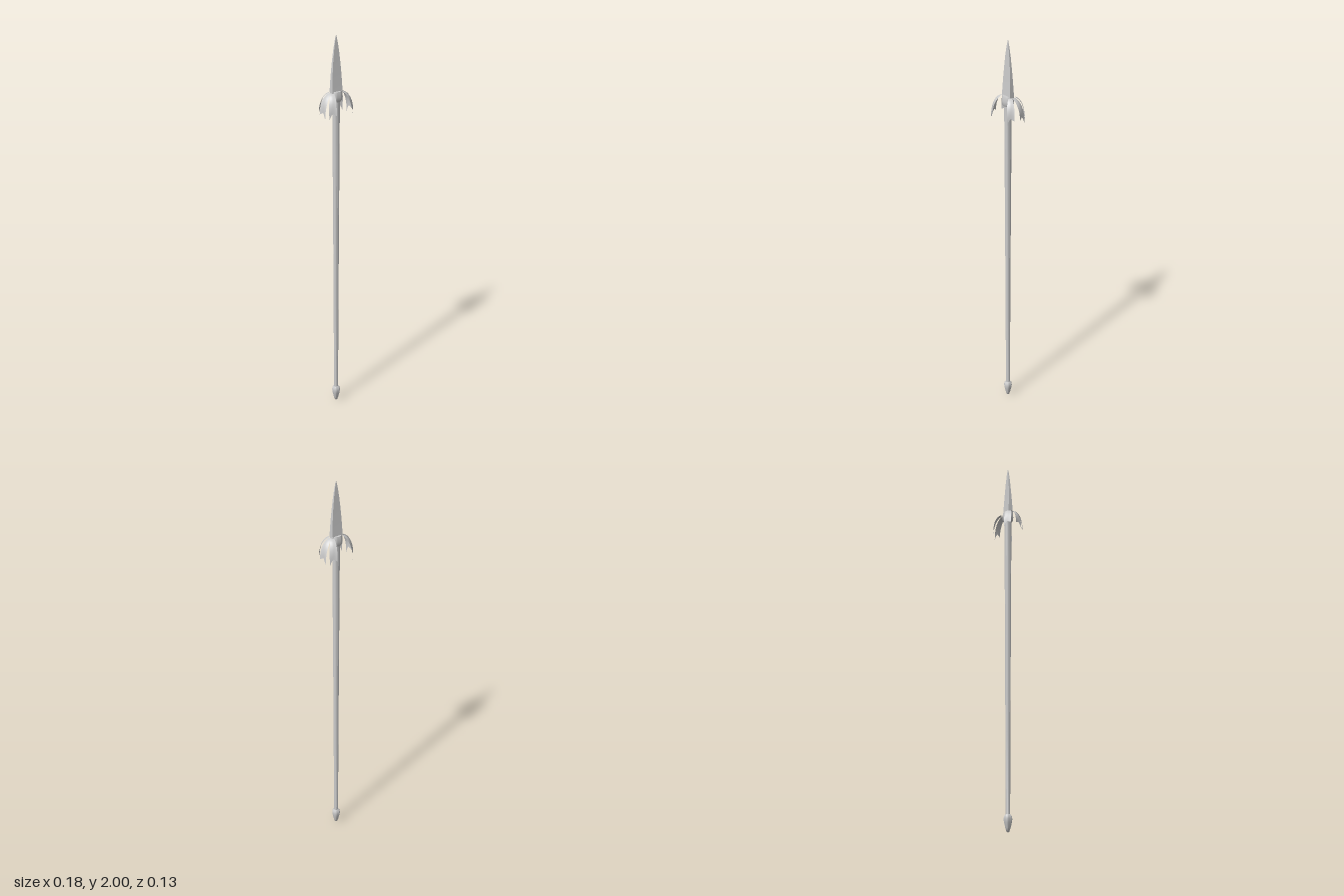
import * as THREE from 'three';
import { toCreasedNormals } from 'three/addons/utils/BufferGeometryUtils.js';

const material = new THREE.MeshStandardMaterial({ color: 0xcccccc });
const thinMaterial = new THREE.MeshStandardMaterial({ color: 0xcccccc, side: THREE.DoubleSide });

function lathe(name, points, sides) {
  const profile = points.map(([r, y]) => new THREE.Vector2(r, y));
  const mesh = new THREE.Mesh(toCreasedNormals(new THREE.LatheGeometry(profile, sides), 0.9), material);
  mesh.name = name;
  return mesh;
}

// Four-sided blade: rectangular sections [y, half width, half depth]
function bladeGeometry() {
  const sections = [
    [1.72, 0.0285, 0.0135], [1.76, 0.0275, 0.011], [1.81, 0.025, 0.0085],
    [1.87, 0.02, 0.006], [1.92, 0.0145, 0.0045], [1.97, 0.007, 0.0025], [2.0, 0.0005, 0.0005],
  ];
  const positions = [], index = [];
  for (const [y, w, d] of sections) positions.push(w, y, d, w, y, -d, -w, y, -d, -w, y, d);
  for (let i = 0; i < sections.length - 1; i++) {
    for (let k = 0; k < 4; k++) {
      const a = i * 4 + k, b = i * 4 + (k + 1) % 4;
      index.push(a, b, b + 4, a, b + 4, a + 4);
    }
  }
  const top = (sections.length - 1) * 4;
  index.push(0, 2, 1, 0, 3, 2, top, top + 1, top + 2, top, top + 2, top + 3);
  const geometry = new THREE.BufferGeometry();
  geometry.setAttribute('position', new THREE.Float32BufferAttribute(positions, 3));
  geometry.setIndex(index);
  return toCreasedNormals(geometry, 0.6);
}

// Drooping feather: arched strip that leaves the collar and ends in a slanted tip
function featherGeometry([x0, z0], [x1, z1], slant) {
  const geometry = new THREE.PlaneGeometry(1, 1, 6, 8);
  const p = geometry.attributes.position;
  const length = Math.hypot(x1 - x0, z1 - z0);
  const dx = (x1 - x0) / length, dz = (z1 - z0) / length;
  for (let i = 0; i < p.count; i++) {
    const s = p.getX(i) * 2, t = 0.5 - p.getY(i);
    const half = 0.009 + 0.009 * Math.sin(Math.min(1, t * 1.4) * Math.PI / 2);
    const out = length * Math.sin(t * Math.PI / 2) + 0.003 * t * s * s;
    const y = 1.722 - 0.018 * t - 0.068 * t * t
      - 0.01 * s * s * t - 0.013 * t * t * (1 + s * slant) * Math.abs(s);
    p.setXYZ(i, x0 + dx * out - dz * half * s, y, z0 + dz * out + dx * half * s);
  }
  geometry.computeVertexNormals();
  return geometry;
}

export function createModel() {
  const group = new THREE.Group();

  // Tapered shaft
  group.add(lathe('shaft', [[0.0105, 0.08], [0.0125, 0.5], [0.0145, 1.0], [0.017, 1.4], [0.0185, 1.69]], 12));

  // Pointed butt cap
  group.add(lathe('buttCap', [
    [0, 0], [0.007, 0.004], [0.012, 0.02], [0.018, 0.045], [0.021, 0.064],
    [0.019, 0.077], [0.014, 0.085], [0, 0.086],
  ], 16));

  // Oval collar below the blade
  const collar = lathe('collar', [
    [0, 1.675], [0.025, 1.676], [0.03, 1.684], [0.031, 1.7], [0.03, 1.718], [0.027, 1.727], [0, 1.728],
  ], 24);
  collar.scale.z = 0.88;
  group.add(collar);

  const blade = new THREE.Mesh(bladeGeometry(), material);
  blade.name = 'blade';
  group.add(blade);

  // Three feathers per side, the second side turned half way round
  const feathers = [
    [[0.034, -0.019], [0.053, -0.054], 1],
    [[0.036, -0.004], [0.084, -0.014], -1],
    [[0.032, 0.013], [0.066, 0.041], 1],
  ];
  for (const side of ['left', 'right']) {
    const cluster = new THREE.Group();
    cluster.name = side + 'Feathers';
    feathers.forEach(([root, tip, slant], i) => {
      const feather = new THREE.Mesh(featherGeometry(root, tip, slant), thinMaterial);
      feather.name = side + 'Feather' + (i + 1);
      cluster.add(feather);
    });
    if (side === 'right') cluster.rotation.y = Math.PI;
    group.add(cluster);
  }
  return group;
}
